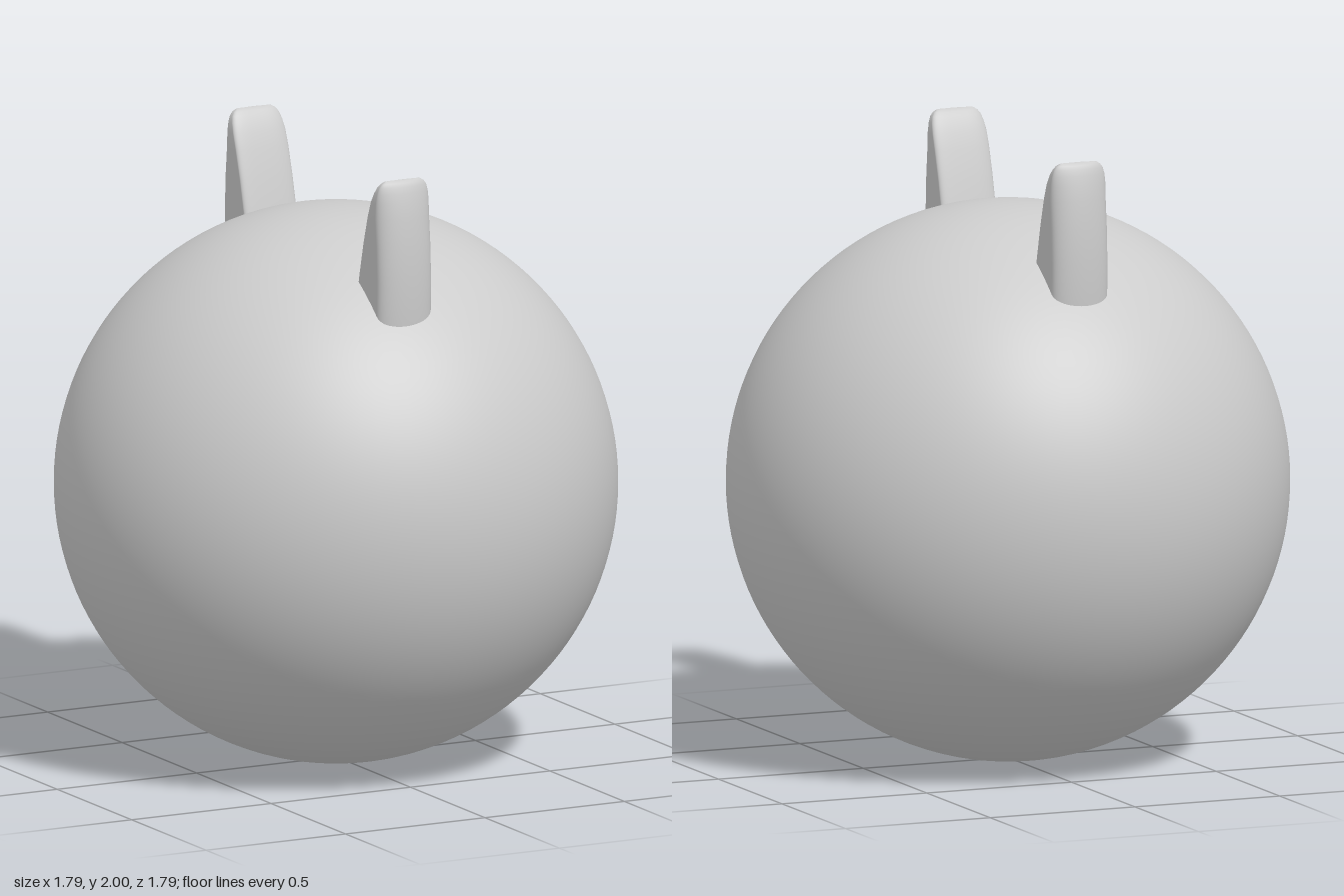
import * as THREE from 'three';

const material = new THREE.MeshStandardMaterial({ color: 0xcccccc });

// Ear levels: [height, inner z, outer z, half width]
const EAR_LEVELS = [
  [1.40, 0.385, 0.615, 0.095],
  [1.54, 0.415, 0.625, 0.095],
  [1.67, 0.443, 0.627, 0.095],
  [1.78, 0.471, 0.622, 0.095],
  [1.87, 0.499, 0.613, 0.095],
  [1.92, 0.518, 0.604, 0.094],
  [1.95, 0.532, 0.597, 0.090],
  [1.97, 0.544, 0.591, 0.084],
  [1.982, 0.553, 0.585, 0.075],
  [1.989, 0.561, 0.579, 0.064],
  [1.991, 0.569, 0.571, 0.055],
];

// Cross-section with straight flanks, a bulging outer face and a flatter inner face
function earPoint(level, a) {
  const [y, inner, outer, half] = level;
  const thick = outer - inner;
  const outerDepth = Math.min(0.05, thick * 0.45);
  const innerDepth = Math.min(0.022, thick * 0.4);
  const c = Math.cos(a), s = Math.sin(a);
  if (s >= 0) return [half * c, y, outer - outerDepth + outerDepth * s];
  const x = half * Math.sign(c) * Math.pow(Math.abs(c), 0.6);
  return [x, y, inner + innerDepth - innerDepth * Math.pow(-s, 0.6)];
}

function earGeometry(sides = 48) {
  const positions = [], index = [];
  for (const level of EAR_LEVELS) {
    for (let i = 0; i < sides; i++) positions.push(...earPoint(level, (i / sides) * Math.PI * 2));
  }
  for (let j = 0; j < EAR_LEVELS.length - 1; j++) {
    for (let i = 0; i < sides; i++) {
      const a = j * sides + i, b = j * sides + (i + 1) % sides;
      index.push(a, a + sides, b, b, a + sides, b + sides);
    }
  }
  // close the tip
  const top = (EAR_LEVELS.length - 1) * sides, tip = positions.length / 3;
  positions.push(0, 1.992, 0.57);
  for (let i = 0; i < sides; i++) index.push(top + i, tip, top + (i + 1) % sides);

  const geometry = new THREE.BufferGeometry();
  geometry.setAttribute('position', new THREE.Float32BufferAttribute(positions, 3));
  geometry.setIndex(index);
  geometry.computeVertexNormals();
  return geometry;
}

export function createModel() {
  const group = new THREE.Group();
  group.name = 'earedBall';

  // Round body
  const body = new THREE.Mesh(new THREE.SphereGeometry(0.893, 96, 64), material);
  body.name = 'body';
  body.position.y = 0.893;
  group.add(body);

  // Two ears facing away from each other
  const geometry = earGeometry();
  const frontEar = new THREE.Mesh(geometry, material);
  frontEar.name = 'frontEar';
  frontEar.position.x = -0.066;

  const backEar = new THREE.Mesh(geometry, material);
  backEar.name = 'backEar';
  backEar.rotation.y = Math.PI;
  backEar.position.set(0, 0.008, 0.016);

  group.add(frontEar, backEar);
  return group;
}
